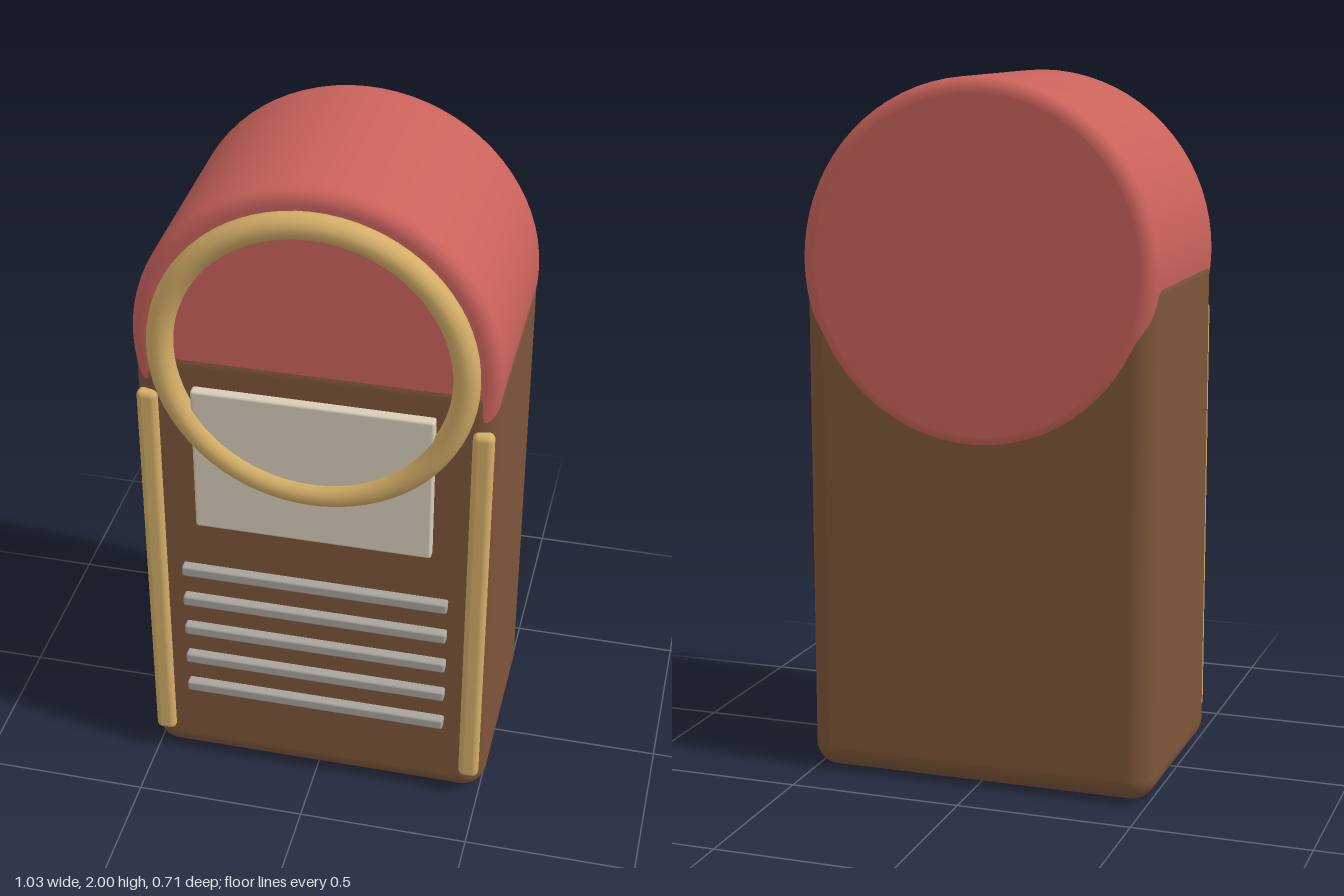
import * as THREE from 'three';
import { RoundedBoxGeometry } from 'three/addons/geometries/RoundedBoxGeometry.js';

const material = (name, color) => {
  const m = new THREE.MeshStandardMaterial({ color });
  m.name = name;
  return m;
};

export function createModel() {
  const group = new THREE.Group();
  const brown = material('brown wood', 0x7d5539);
  const red = material('red', 0xc9625b);
  const gold = material('gold', 0xd4ae68);
  const cream = material('cream', 0xd9cdb9);
  const grey = material('grey', 0xa8a49c);

  const add = (name, geometry, mat, x, y, z) => {
    const mesh = new THREE.Mesh(geometry, mat);
    mesh.name = name;
    mesh.position.set(x, y, z);
    group.add(mesh);
    return mesh;
  };
  // Rounded box given by its size and centre
  const box = (name, mat, w, h, d, r, x, y, z) =>
    add(name, new RoundedBoxGeometry(w, h, d, 5, r), mat, x, y, z);

  // Cabinet
  box('body', brown, 1.026, 1.49, 0.652, 0.07, 0, 0.745, -0.024);

  // Round drum with softened rims, forming the arched top
  const R = 0.513, back = -0.355, front = 0.299, bevel = 0.04;
  const profile = [new THREE.Vector2(0, back), new THREE.Vector2(R - bevel - 0.003, back)];
  for (let i = 0; i <= 6; i++) {
    const a = (i / 6) * Math.PI / 2;
    profile.push(new THREE.Vector2(R - bevel + bevel * Math.sin(a), back + bevel - bevel * Math.cos(a)));
  }
  profile.push(new THREE.Vector2(R, back + bevel + 0.003), new THREE.Vector2(R, front - bevel - 0.003));
  for (let i = 0; i <= 6; i++) {
    const a = (i / 6) * Math.PI / 2;
    profile.push(new THREE.Vector2(R - bevel + bevel * Math.cos(a), front - bevel + bevel * Math.sin(a)));
  }
  profile.push(new THREE.Vector2(R - bevel - 0.003, front), new THREE.Vector2(0, front));
  add('archedTop', new THREE.LatheGeometry(profile, 72).rotateX(Math.PI / 2), red, 0, 1.487, 0);

  // Front ring
  add('ring', new THREE.TorusGeometry(0.421, 0.037, 16, 72), gold, 0, 1.489, 0.318);

  // Display panel
  box('panel', cream, 0.68, 0.46, 0.04, 0.008, 0, 1.13, 0.31);

  // Grille slats
  for (let i = 0; i < 5; i++) {
    box('slat', grey, 0.78, 0.034, 0.04, 0.007, 0, 0.285 + i * 0.11, 0.31);
  }

  // Vertical trim on both sides
  for (const side of [-1, 1]) {
    box(side > 0 ? 'leftTrim' : 'rightTrim', gold, 0.06, 1.245, 0.04, 0.018, side * 0.47, 0.708, 0.302);
  }

  return group;
}
